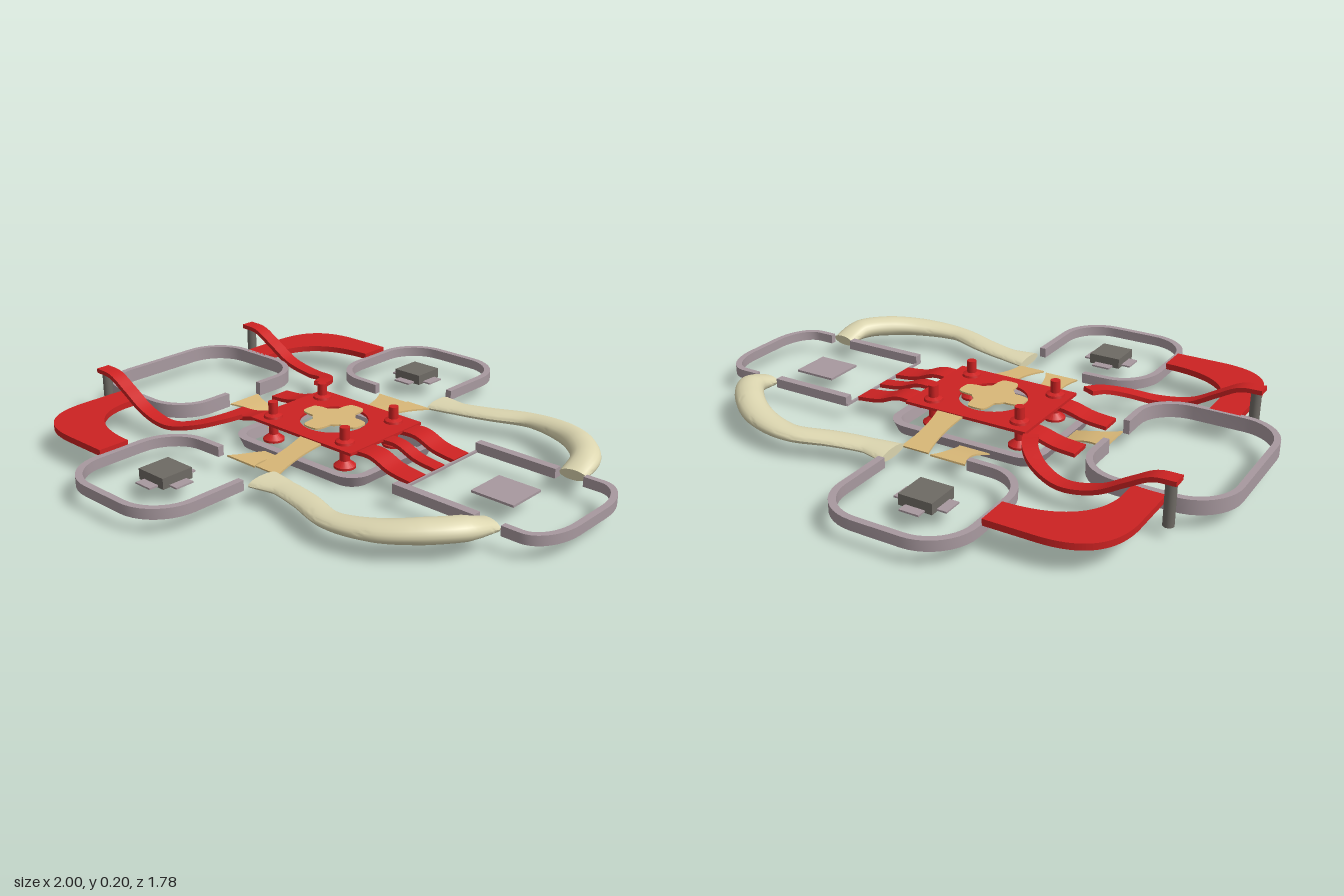
import * as THREE from 'three';
import { toCreasedNormals } from 'three/addons/utils/BufferGeometryUtils.js';

const paint = (name, color) => Object.assign(new THREE.MeshStandardMaterial({ color }), { name });
const V = (x, y, z) => new THREE.Vector3(x, y, z);

// Sweeps a convex section (anticlockwise [side, up] pairs, given per t) along points.
function sweep(pts, section, closed = false) {
  const n = pts.length, pos = [], rings = [];
  for (let i = 0; i < n; i++) {
    const a = closed ? pts[(i + n - 1) % n] : pts[Math.max(i - 1, 0)];
    const b = closed ? pts[(i + 1) % n] : pts[Math.min(i + 1, n - 1)];
    const t = b.clone().sub(a).normalize();
    const side = t.clone().cross(V(0, 1, 0)).normalize();
    const up = side.clone().cross(t);
    rings.push(section(i / (n - 1)).map(([u, v]) =>
      pts[i].clone().addScaledVector(side, u).addScaledVector(up, v)));
  }
  const tri = (...p) => p.forEach(q => pos.push(q.x, q.y, q.z));
  const m = rings[0].length;
  for (let i = 0; i < (closed ? n : n - 1); i++) {
    const a = rings[i], b = rings[(i + 1) % n];
    for (let j = 0; j < m; j++) {
      const k = (j + 1) % m;
      tri(a[j], b[j], a[k]);
      tri(a[k], b[j], b[k]);
    }
  }
  if (!closed) {
    const a = rings[0], b = rings[n - 1];
    for (let j = 1; j < m - 1; j++) {
      tri(a[0], a[j], a[j + 1]);
      tri(b[0], b[j + 1], b[j]);
    }
  }
  const g = new THREE.BufferGeometry();
  g.setAttribute('position', new THREE.Float32BufferAttribute(pos, 3));
  return toCreasedNormals(g, 0.6);
}

const box = (hw, hh) => [[-hw, -hh], [hw, -hh], [hw, hh], [-hw, hh]];
const oval = (hw, hh) => Array.from({ length: 20 }, (_, i) =>
  [hw * Math.cos(i * Math.PI / 10), hh * Math.sin(i * Math.PI / 10)]);

// Value through evenly spaced samples.
function sample(list, t) {
  const f = t * (list.length - 1), i = Math.min(Math.floor(f), list.length - 2);
  return THREE.MathUtils.lerp(list[i], list[i + 1], f - i);
}

// Samples a spline so that t matches its control points.
const spline = (list, n = 48) =>
  new THREE.CatmullRomCurve3(list.map(p => V(...p))).getPoints(n);

// Rounds the corners of a level polyline given as [x, z] pairs.
function rounded(corners, r, y, closed = false) {
  const c = corners.map(([x, z]) => V(x, y, z)), n = c.length, out = [];
  c.forEach((p, i) => {
    if (!closed && (i === 0 || i === n - 1)) return out.push(p);
    const toward = q => p.clone().add(q.clone().sub(p).setLength(Math.min(r, q.distanceTo(p) * 0.6)));
    const a = toward(c[(i + n - 1) % n]), b = toward(c[(i + 1) % n]);
    const k = 0.552;
    out.push(...new THREE.CubicBezierCurve3(a, a.clone().lerp(p, k), b.clone().lerp(p, k), b).getPoints(10));
  });
  return out;
}

export function createModel() {
  const model = new THREE.Group();
  const frameGrey = paint('frame grey', 0xa8999f);
  const red = paint('red', 0xcc2222);
  const cream = paint('cream', 0xdcd6b0);
  const tan = paint('tan', 0xd9b878);
  const darkGrey = paint('dark grey', 0x6e6a64);
  tan.side = THREE.DoubleSide;

  const add = (name, geometry, material, x = 0, y = 0, z = 0) => {
    const mesh = new THREE.Mesh(geometry, material);
    mesh.name = name;
    mesh.position.set(x, y, z);
    model.add(mesh);
    return mesh;
  };
  const wall = (name, corners, r, y0, y1, hw) =>
    add(name, sweep(rounded(corners, r, (y0 + y1) / 2), () => box(hw, (y1 - y0) / 2)), frameGrey);
  const block = (name, w, h, d, mat, x, y, z) => add(name, new THREE.BoxGeometry(w, h, d), mat, x, y, z);
  const flat = (shape, depth) =>
    new THREE.ExtrudeGeometry(shape, { depth, bevelEnabled: false, curveSegments: 32 }).rotateX(Math.PI / 2);

  // Central lower frame, narrower at its foot
  add('lowerFrame', sweep(
    rounded([[-0.325, -0.225], [-0.325, 0.215], [0.245, 0.215], [0.245, -0.225]], 0.07, 0.02, true),
    () => [[-0.024, -0.02], [-0.004, -0.02], [0.014, 0.02], [-0.016, 0.02]], true), frameGrey);

  // Red top plate with a round opening
  const plate = new THREE.Shape();
  plate.moveTo(-0.27, -0.185).lineTo(0.2, -0.185).lineTo(0.2, 0.18).lineTo(-0.27, 0.18).closePath();
  plate.holes.push(new THREE.Path().absarc(-0.04, 0, 0.12, 0, Math.PI * 2, true));
  add('topPlate', flat(plate, 0.01), red, 0, 0.108, 0);

  // Four-armed hub over the opening
  const star = Array.from({ length: 96 }, (_, i) => {
    const a = i * Math.PI / 48;
    const r = 0.1 + 0.025 * THREE.MathUtils.clamp(1.7 * Math.cos(4 * a), -1, 1);
    return new THREE.Vector2(r * Math.cos(a), r * Math.sin(a));
  });
  add('hub', flat(new THREE.Shape(star), 0.006), tan, -0.04, 0.119, 0);

  // Flanged posts through the plate
  const post = toCreasedNormals(new THREE.LatheGeometry([
    [0, 0.02], [0.038, 0.02], [0.038, 0.028], [0.017, 0.045], [0.017, 0.108],
    [0.034, 0.108], [0.032, 0.116], [0.017, 0.122], [0.017, 0.165], [0, 0.165],
  ].map(p => new THREE.Vector2(...p)), 24), 0.3);
  for (const x of [-0.215, 0.125]) for (const z of [-0.125, 0.125]) add('post', post, red, x, 0, z);

  // Red bars beneath the plate, reaching to both ends
  for (const [z, hw, long] of [[-0.125, 0.04, true], [-0.01, 0.025, false], [0.105, 0.04, true]]) {
    add('rightBar', sweep(spline([[0.15, 0.092, z], [0.25, 0.098, z], [0.33, 0.07, z], [0.42, 0.058, z]], 20),
      () => box(hw, 0.007)), red);
    if (long) add('leftBar', sweep(spline([[-0.22, 0.092, z], [-0.29, 0.085, z], [-0.36, 0.067, z], [-0.44, 0.06, z]], 20),
      () => box(hw, 0.007)), red);
  }

  // Left ring, open toward the centre
  wall('leftRing', [[-0.51, -0.08], [-0.51, -0.313], [-0.989, -0.313], [-0.989, 0.303], [-0.51, 0.303], [-0.51, 0.075]],
    0.15, 0.055, 0.105, 0.011);

  // Right tray with gaps for the cream arms
  for (const z of [-0.22, 0.215]) wall('trayRail', [[0.42, z], [0.735, z]], 0, 0.055, 0.089, 0.015);
  wall('trayEnd', [[0.832, -0.226], [0.989, -0.226], [0.989, 0.221], [0.832, 0.221]], 0.15, 0.055, 0.089, 0.011);
  wall('trayLip', [[0.423, -0.23], [0.423, 0.225]], 0, 0.053, 0.061, 0.004);
  block('trayPad', 0.16, 0.008, 0.15, frameGrey, 0.68, 0.062, -0.013);

  // Hourglass links, bowed upward in the middle
  const link = (name, a, b, half, waist, bow) => add(name, sweep(
    spline([a, a.map((v, i) => (v + b[i]) / 2 + (i === 1 ? bow : 0)), b], 20),
    t => box(half * (waist + (1 - waist) * (2 * t - 1) ** 2), 0.003)), tan);
  link('leftLink', [-0.5, 0.062, 0], [-0.305, 0.02, 0], 0.07, 0.6, 0.008);

  // Everything paired front and back
  for (const s of [-1, 1]) {
    const Z = z => s * z - 0.005;
    const path = list => list.map(([x, y, z]) => [x, y, Z(z)]);

    wall('sideRing', [[0.05, 0.53], [0.05, 0.879], [-0.42, 0.879], [-0.42, 0.405], [-0.19, 0.4]].map(([x, z]) => [x, Z(z)]),
      0.15, 0.053, 0.089, 0.012);

    link('lowerLink', [-0.105, 0.056, Z(0.39)], [-0.105, 0.015, Z(0.21)], 0.066, 0.62, 0.008);
    link('upperLink', [0.02, 0.06, Z(0.39)], [0.02, 0.104, Z(0.17)], 0.052, 0.76, 0);

    // Hollow pod with four tabs
    const px = -0.19, pz = Z(0.637);
    block('podTop', 0.12, 0.008, 0.12, darkGrey, px, 0.086, pz);
    for (const e of [-1, 1]) {
      block('podWall', 0.006, 0.03, 0.12, darkGrey, px + e * 0.057, 0.067, pz);
      block('podWall', 0.12, 0.03, 0.006, darkGrey, px, 0.067, pz + e * 0.057);
      block('podTab', 0.036, 0.006, 0.07, frameGrey, px + e * 0.076, 0.058, pz);
      block('podTab', 0.07, 0.006, 0.036, frameGrey, px, 0.058, pz + e * 0.076);
    }

    // Cream curved arm, sinking into the tray
    const widths = [0.065, 0.045, 0.046, 0.043, 0.051, 0.051, 0.05, 0.047];
    const heights = [0.018, 0.017, 0.019, 0.023, 0.031, 0.037, 0.036, 0.02];
    add('creamArm', sweep(spline(path([
      [0.065, 0.064, 0.45], [0.16, 0.066, 0.452], [0.28, 0.07, 0.478], [0.43, 0.074, 0.523],
      [0.58, 0.083, 0.492], [0.69, 0.092, 0.42], [0.768, 0.092, 0.325], [0.783, 0.074, 0.228],
    ]), 56), t => oval(sample(widths, t), sample(heights, t))), cream);

    // Red claw joining the side ring to the left ring
    const claw = new THREE.Shape();
    claw.moveTo(-0.43, Z(0.715)).lineTo(-0.6, Z(0.715));
    claw.bezierCurveTo(-0.74, Z(0.715), -0.82, Z(0.65), -0.82, Z(0.5));
    claw.lineTo(-0.82, Z(0.31)).lineTo(-0.71, Z(0.31)).lineTo(-0.71, Z(0.4));
    claw.bezierCurveTo(-0.7, Z(0.52), -0.61, Z(0.6), -0.43, Z(0.6));
    add('claw', flat(claw, 0.022), red, 0, 0.105, 0);

    // Raised strap and its support
    add('strap', sweep(spline(path([
      [-0.875, 0.188, 0.365], [-0.8, 0.183, 0.365], [-0.72, 0.142, 0.365], [-0.62, 0.088, 0.365],
      [-0.5, 0.067, 0.362], [-0.4, 0.085, 0.325], [-0.335, 0.106, 0.265], [-0.305, 0.116, 0.205],
    ])), () => box(0.026, 0.008)), red);
    add('strapSupport', new THREE.CylinderGeometry(0.018, 0.018, 0.148, 20), darkGrey, -0.85, 0.109, Z(0.365));
  }
  return model;
}
